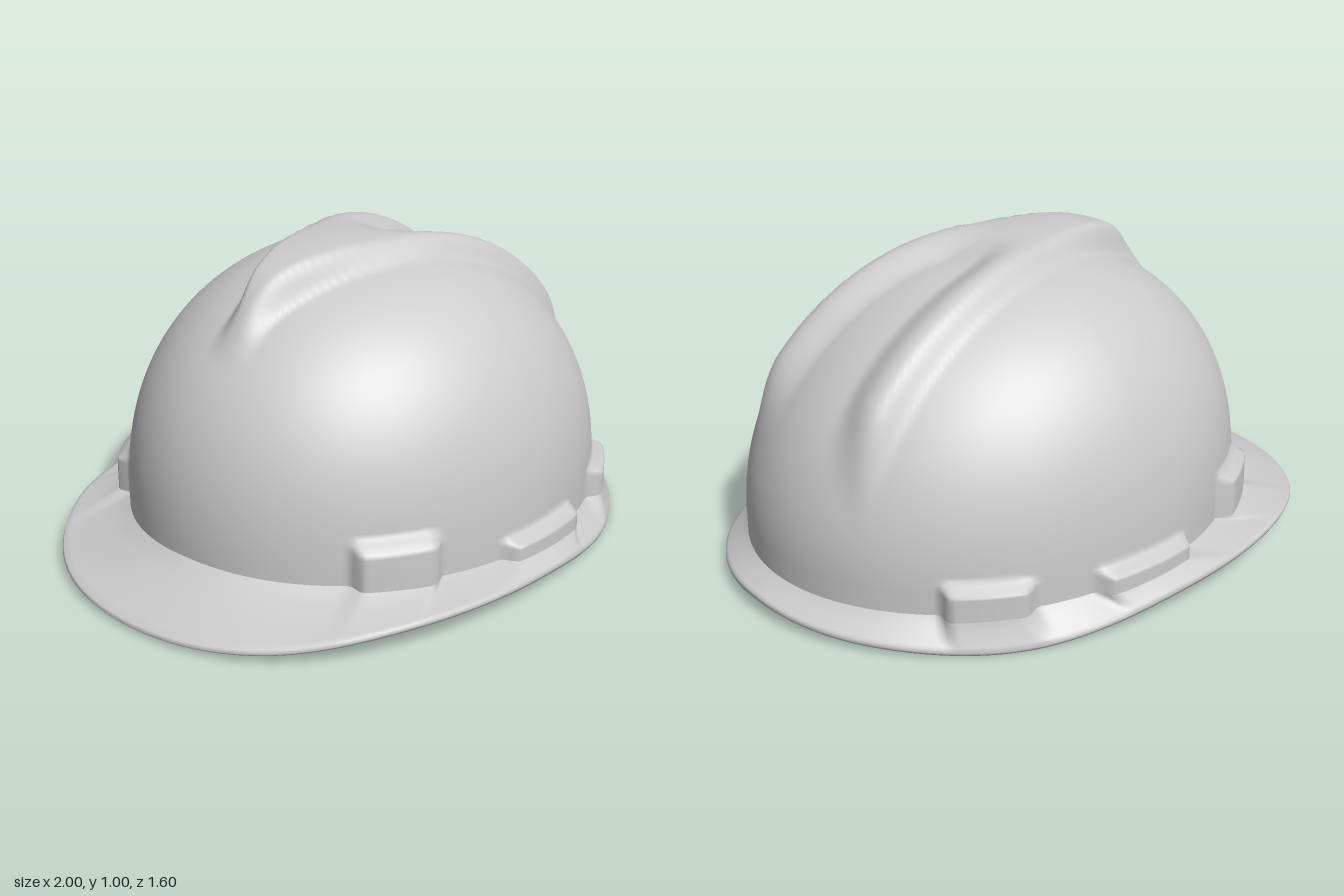
import * as THREE from 'three';

const SEG = 288;
const { smoothstep, lerp } = THREE.MathUtils;
const CX = 0.075, BASE = 0.17, RX = 0.845, RZ = 0.71, RISE = 0.78;
const THICK = 0.025;
const material = new THREE.MeshStandardMaterial({ color: 0xcccccc, side: THREE.DoubleSide });

// Accessory slots along the wall: centre and half width in degrees, top height
const LUGS = [
  { at: 54, half: 9, top: 0.195 },
  { at: 90, half: 11.5, top: 0.175 },
  { at: 128, half: 9, top: 0.265 },
];

// Values at equal steps from the rear (+x) round to the peak (-x), mirrored in z
const ring = (...values) => {
  const curve = new THREE.SplineCurve(values.map((v, i) => new THREE.Vector2(i, v)));
  return (a) => curve.getPoint(Math.acos(Math.cos(a)) / Math.PI).y;
};
const edgeHeight = ring(0.045, 0.02, 0.003, 0.058, 0.07, 0.03, 0.01);
const joinHeight = ring(0.1, 0.1, 0.1, 0.11, 0.125, 0.14, 0.155);
const ridgeWidth = new THREE.SplineCurve([0.03, 0.1, 0.17, 0.22, 0.25, 0.27].map((w, i) => new THREE.Vector2(i, w)));

// Raised V on the crown: a wedge opening to the rear with a sunken middle
function ridge(x, z) {
  const az = Math.abs(z);
  const w = ridgeWidth.getPoint(THREE.MathUtils.clamp((x + 0.45) / 1.25, 0, 1)).y;
  const height = smoothstep(x, -0.6, -0.33) * lerp(0.085, 0.05, smoothstep(x, -0.33, 0.05))
    * (1 - smoothstep(x, 0.68, 0.84));
  const raised = 1 - smoothstep(az, w - 0.02, w + 0.06);
  const valley = smoothstep(x, 0, 0.25) * (1 - smoothstep(az, w - 0.16, w - 0.03));
  return height * (raised - 1.1 * valley);
}

function lugDepth(a, y) {
  const deg = THREE.MathUtils.radToDeg(Math.acos(Math.cos(a)));
  let depth = 0;
  for (const { at, half, top } of LUGS) {
    const side = 1 - smoothstep(Math.abs(deg - at), half - 1.5, half + 1.5);
    depth = Math.max(depth, side * (1 - smoothstep(y, top - 0.015, top + 0.01)));
  }
  return 0.045 * depth;
}

// Point on the wall below the dome, at height y
function wallPoint(a, y, inset) {
  const out = lugDepth(a, y) - inset;
  return new THREE.Vector3(CX + (RX + out) * Math.cos(a), y, (RZ + out) * Math.sin(a));
}

// Point on the dome: phi runs from 0 at the wall to PI/2 at the apex
function domePoint(a, phi, inset) {
  const n = 2.3 - 0.3 * Math.max(0, Math.cos(a));
  const r = Math.pow(Math.max(0, Math.cos(phi)), 2 / n);
  const h = Math.pow(Math.sin(phi), 2 / n);
  const y = BASE + (RISE - inset) * h;
  const out = lugDepth(a, y) - inset;
  const p = new THREE.Vector3((RX + out) * r * Math.cos(a), (RISE - inset) * h, (RZ + out) * r * Math.sin(a));
  const d = ridge(p.x + CX, p.z) * smoothstep(p.y, 0.1, 0.3);
  const len = p.length();
  p.multiplyScalar((len + d) / len);
  return p.add(new THREE.Vector3(CX, BASE, 0));
}

// Outer outline of the brim, fuller at the peak
function brimEdge(a, y) {
  const c = Math.cos(a), s = Math.sin(a);
  const e = c < 0 ? 2 / 2.25 : 1;
  return new THREE.Vector3(Math.sign(c) * Math.pow(Math.abs(c), e), y, 0.8 * Math.sign(s) * Math.pow(Math.abs(s), e));
}

// Skin closed rings of points into one smooth surface
function skin(name, rows) {
  const pos = [], index = [];
  rows.forEach((row, i) => {
    for (let j = 0; j < SEG; j++) {
      pos.push(...row((j / SEG) * Math.PI * 2).toArray());
      if (i === rows.length - 1) continue;
      const k = (j + 1) % SEG, p = i * SEG, q = p + SEG;
      index.push(p + j, p + k, q + j, p + k, q + k, q + j);
    }
  });
  const geometry = new THREE.BufferGeometry();
  geometry.setAttribute('position', new THREE.Float32BufferAttribute(pos, 3));
  geometry.setIndex(index);
  geometry.computeVertexNormals();
  const mesh = new THREE.Mesh(geometry, material);
  mesh.name = name;
  return mesh;
}

// Rows from the apex down to where the wall meets the brim
function shellRows(inset) {
  const rows = [];
  const domeSteps = 64, wallSteps = 6;
  for (let i = 0; i < domeSteps; i++) {
    const phi = (Math.PI / 2) * Math.pow(1 - i / domeSteps, 1.3);
    rows.push((a) => domePoint(a, phi, inset));
  }
  for (let i = 0; i <= wallSteps; i++) {
    rows.push((a) => wallPoint(a, lerp(BASE, joinHeight(a), i / wallSteps), inset));
  }
  return rows;
}

// Brim from the wall out over the rounded lip and back underneath
function brimRows() {
  const rows = [], steps = 8, lip = 0.018;
  const surface = (t, inset, drop) => (a) => {
    const inner = wallPoint(a, joinHeight(a), inset);
    const p = inner.clone().lerp(brimEdge(a, edgeHeight(a) + lip), t);
    p.y = lerp(inner.y, edgeHeight(a) + lip, Math.pow(t, 0.85)) - drop * t;
    return p;
  };
  for (let i = 0; i < steps; i++) rows.push(surface(i / steps, 0, 0));
  rows.push(surface(0.98, 0, 0));
  rows.push((a) => brimEdge(a, edgeHeight(a) + lip * 0.5));
  rows.push(surface(0.98, THICK, lip));
  for (let i = steps - 1; i >= 0; i--) rows.push(surface(i / steps, THICK, lip));
  return rows;
}

export function createModel() {
  const helmet = new THREE.Group();
  helmet.name = 'hardHat';
  helmet.add(
    skin('crown', shellRows(0)),
    skin('brim', brimRows()),
    skin('innerShell', shellRows(THICK).reverse()),
  );
  return helmet;
}
